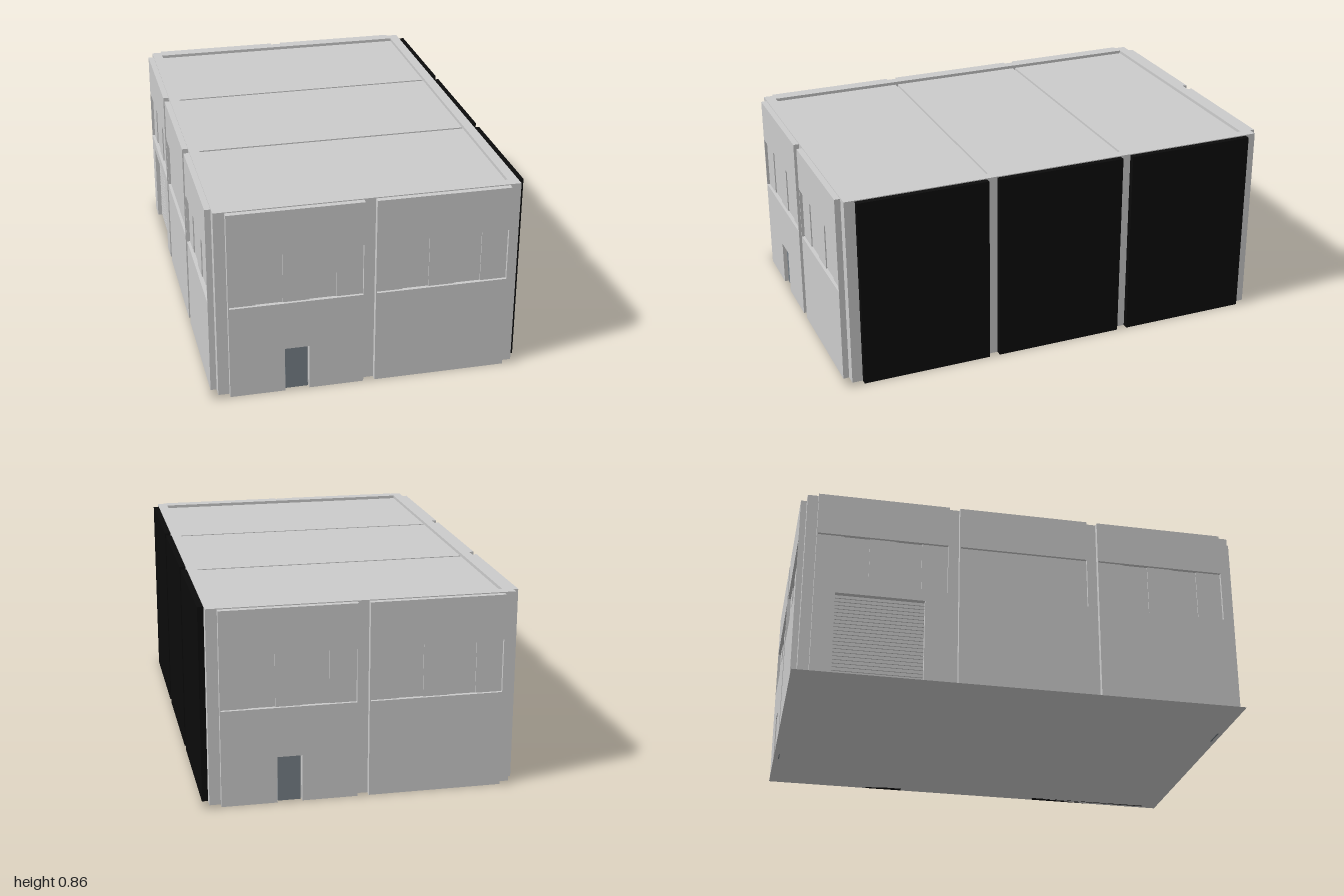
import * as THREE from 'three';

const mat = (color) => new THREE.MeshStandardMaterial({ color });
const grey = mat(0xcccccc);
const black = mat(0x0b0b0b);
const doorBlue = mat(0x767f86);

// Outer skin: core faces, panel depth and heights
const CX = 0.655, CZ = 0.972, D = 0.026, H = 0.856;
const SILL = 0.425, HEAD = 0.66;

function box(parent, name, x0, x1, y0, y1, z0, z1, material = grey) {
  const m = new THREE.Mesh(new THREE.BoxGeometry(x1 - x0, y1 - y0, z1 - z0), material);
  m.position.set((x0 + x1) / 2, (y0 + y1) / 2, (z0 + z1) / 2);
  m.name = name;
  parent.add(m);
  return m;
}

// Wall panel centred on x, from z = 0 outward to z = D.
// opening: [left, right, height] cut from the foot of the panel
function wallBay(name, w, panes, opening) {
  const g = new THREE.Group();
  g.name = name;
  const h = w / 2;
  const s = new THREE.Shape();
  s.moveTo(-h, 0);
  if (opening) {
    const [l, r, top] = opening;
    s.lineTo(l, 0); s.lineTo(l, top); s.lineTo(r, top); s.lineTo(r, 0);
  }
  s.lineTo(h, 0); s.lineTo(h, SILL); s.lineTo(-h, SILL);
  const lower = new THREE.Mesh(new THREE.ExtrudeGeometry(s, { depth: D, bevelEnabled: false }), grey);
  lower.name = 'lowerPanel';
  g.add(lower);
  box(g, 'upperPanel', -h, h, HEAD, H, 0, D);
  // window strip set back between two thin jambs
  const j = 0.004;
  for (const k of [-1, 1]) box(g, 'jamb', k * (h - j / 2) - j / 2, k * (h - j / 2) + j / 2, SILL, HEAD, 0, D);
  const pw = (w - 2 * j) / panes;
  for (let i = 0; i < panes; i++) {
    const x = -h + j + i * pw;
    box(g, 'windowPane', x, x + pw, SILL, HEAD, 0, i % 2 ? D - 0.018 : D - 0.013);
  }
  return g;
}

export function createModel() {
  const model = new THREE.Group();

  // Core whose exposed strips form the columns and corners
  box(model, 'core', -CX, CX, 0.001, 0.836, -CZ, CZ);

  // Parapet ring
  const ring = new THREE.Shape();
  ring.moveTo(-CX, -CZ); ring.lineTo(CX, -CZ); ring.lineTo(CX, CZ); ring.lineTo(-CX, CZ);
  const hole = new THREE.Path();
  hole.moveTo(-0.61, -0.925); hole.lineTo(-0.61, 0.925); hole.lineTo(0.61, 0.925); hole.lineTo(0.61, -0.925);
  ring.holes.push(hole);
  const parapet = new THREE.Mesh(new THREE.ExtrudeGeometry(ring, { depth: 0.024, bevelEnabled: false }), grey);
  parapet.rotation.x = -Math.PI / 2;
  parapet.position.y = 0.836;
  parapet.name = 'parapet';
  model.add(parapet);

  // Three roof slabs with narrow joints
  for (const [a, b] of [[-0.925, -0.326], [-0.314, 0.306], [0.318, 0.925]])
    box(model, 'roofSlab', -0.61, 0.61, 0.83, 0.846, a, b);

  // Front and back: the same end wall turned half round
  for (const turn of [0, Math.PI]) {
    const end = new THREE.Group();
    end.name = turn ? 'backWall' : 'frontWall';
    for (const side of [-1, 1]) {
      const bay = wallBay('endBay', 0.582, 5, side < 0 ? [-0.053, 0.053, 0.206] : null);
      bay.position.set(side * 0.316, 0, CZ);
      end.add(bay);
    }
    box(end, 'door', -0.365, -0.267, 0, 0.2, CZ, CZ + 0.008, doorBlue);
    end.rotation.y = turn;
    model.add(end);
  }

  // Window side, with a shutter in the rear bay
  const sideWall = new THREE.Group();
  sideWall.name = 'windowWall';
  for (let i = -1; i <= 1; i++) {
    const bay = wallBay('sideBay', 0.585, i === 0 ? 1 : 5, i < 0 ? [-0.2, 0.19, 0.375] : null);
    bay.position.set(i * 0.632, 0, CX);
    sideWall.add(bay);
  }
  const shutter = new THREE.Group();
  shutter.name = 'shutterDoor';
  const slats = 22, sh = 0.375 / slats;
  for (let i = 0; i < slats; i++) {
    const slat = box(shutter, 'slat', -0.832, -0.442, i * sh + 0.002, (i + 1) * sh - 0.002, CX, CX + 0.006);
    slat.name = 'slat';
  }
  sideWall.add(shutter);
  sideWall.rotation.y = -Math.PI / 2;
  model.add(sideWall);

  // Dark side: three plain panels
  for (let i = -1; i <= 1; i++)
    box(model, 'darkPanel', CX, CX + D, 0, H, i * 0.632 - 0.2925, i * 0.632 + 0.2925, black);

  // Ground slab underside
  const floor = new THREE.Mesh(new THREE.PlaneGeometry(1.362, 1.996), grey);
  floor.rotation.x = Math.PI / 2;
  floor.name = 'floor';
  model.add(floor);

  return model;
}
